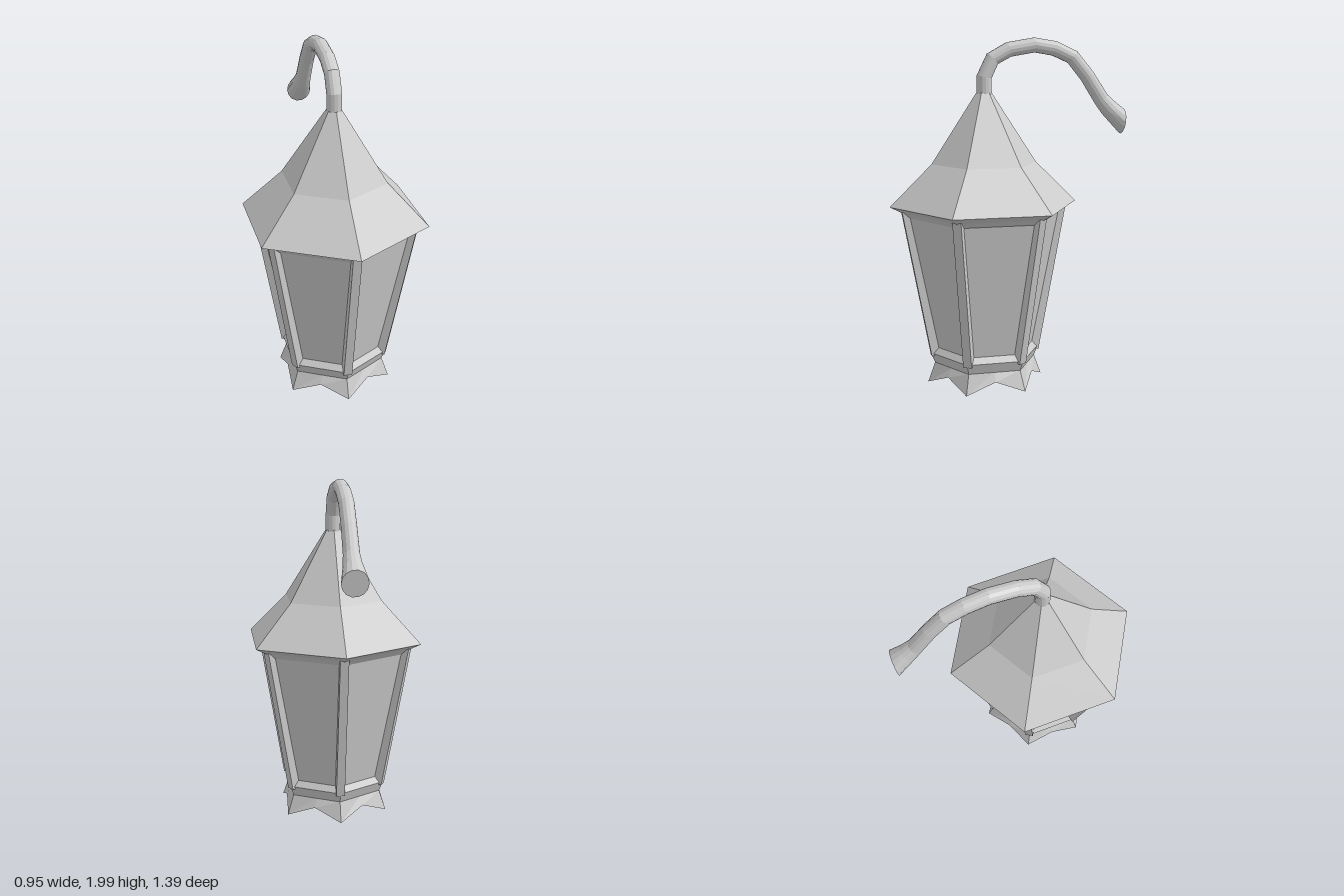
import * as THREE from 'three';

const SIDES = 6;
const mat = new THREE.MeshStandardMaterial({ color: 0xcccccc, flatShading: true });
const thinMat = new THREE.MeshStandardMaterial({ color: 0xcccccc, flatShading: true, side: THREE.DoubleSide });

// six-sided solid from a [radius, height] profile, listed bottom to top
function hexLathe(name, profile) {
  const pts = profile.map(([r, y]) => new THREE.Vector2(r, y));
  const mesh = new THREE.Mesh(new THREE.LatheGeometry(pts, SIDES), mat);
  mesh.name = name;
  return mesh;
}

// leaning square post whose outer face follows the body taper
function cornerPost(angle) {
  const geo = new THREE.BoxGeometry(0.05, 1, 0.07);
  const p = geo.attributes.position;
  for (let i = 0; i < p.count; i++) {
    const top = p.getY(i) > 0;
    p.setY(i, top ? 1.03 : 0.165);
    p.setZ(i, (top ? 0.482 : 0.322) + p.getZ(i) - 0.035);
  }
  geo.rotateY(angle);
  const mesh = new THREE.Mesh(geo, mat);
  mesh.name = 'cornerPost';
  return mesh;
}

// flared skirt with a downward point at each corner
function pointedSkirt() {
  const geo = new THREE.CylinderGeometry(1, 1, 1, SIDES * 2, 1, true);
  const p = geo.attributes.position;
  for (let i = 0; i < p.count; i++) {
    const a = Math.atan2(p.getX(i), p.getZ(i));
    const corner = Math.round(a / (Math.PI / SIDES)) % 2 === 0;
    const top = p.getY(i) > 0;
    const r = top ? (corner ? 0.3 : 0.26) : (corner ? 0.342 : 0.287);
    p.setXYZ(i, r * Math.sin(a), top ? 0.12 : (corner ? 0.004 : 0.07), r * Math.cos(a));
  }
  const mesh = new THREE.Mesh(geo, thinMat);
  mesh.name = 'pointedSkirt';
  return mesh;
}

// tube in the yz plane; stations are [z, y, radius], with a flared closed end
function hookArm() {
  const path = [
    [0.143, 1.66, 0.043], [0.143, 1.78, 0.043], [0.095, 1.88, 0.043], [0, 1.932, 0.043],
    [-0.15, 1.957, 0.043], [-0.27, 1.937, 0.043], [-0.377, 1.888, 0.043], [-0.467, 1.78, 0.043],
    [-0.555, 1.645, 0.045], [-0.6, 1.595, 0.052], [-0.685, 1.513, 0.073],
  ];
  const n = 14, last = path.length - 1, pos = [], idx = [];
  path.forEach(([z, y, r], k) => {
    const a = path[Math.max(k - 1, 0)], b = path[Math.min(k + 1, last)];
    const t = new THREE.Vector2(b[0] - a[0], b[1] - a[1]).normalize();
    if (k === last) t.set(-0.99, -0.14);
    for (let j = 0; j < n; j++) {
      const q = (j / n) * Math.PI * 2, s = r * Math.sin(q);
      pos.push(r * Math.cos(q), y + s * t.x, z - s * t.y);
      if (k < last) {
        const i0 = k * n + j, i1 = k * n + (j + 1) % n;
        idx.push(i0, i0 + n, i1, i1, i0 + n, i1 + n);
      }
    }
  });
  // end caps
  for (let j = 1; j < n - 1; j++) {
    const e = last * n;
    idx.push(0, j, j + 1, e, e + j + 1, e + j);
  }
  const geo = new THREE.BufferGeometry();
  geo.setAttribute('position', new THREE.Float32BufferAttribute(pos, 3));
  geo.setIndex(idx);
  geo.computeVertexNormals();
  const mesh = new THREE.Mesh(geo, thinMat);
  mesh.name = 'hookArm';
  return mesh;
}

export function createModel() {
  const model = new THREE.Group();
  model.name = 'hangingLantern';

  const lantern = new THREE.Group();
  lantern.name = 'lanternBody';
  lantern.position.z = 0.145;

  lantern.add(
    hexLathe('base', [[0, 0.08], [0.295, 0.08], [0.3, 0.12], [0.325, 0.18], [0.296, 0.215]]),
    hexLathe('glassPanes', [[0.292, 0.2], [0.452, 1.0]]),
    hexLathe('roof', [[0.435, 0.975], [0.485, 1.02], [0.548, 1.052], [0.306, 1.29], [0.045, 1.69], [0, 1.69]]),
    pointedSkirt(),
  );
  for (let i = 0; i < SIDES; i++) lantern.add(cornerPost((i / SIDES) * Math.PI * 2));

  model.add(lantern, hookArm());
  return model;
}
